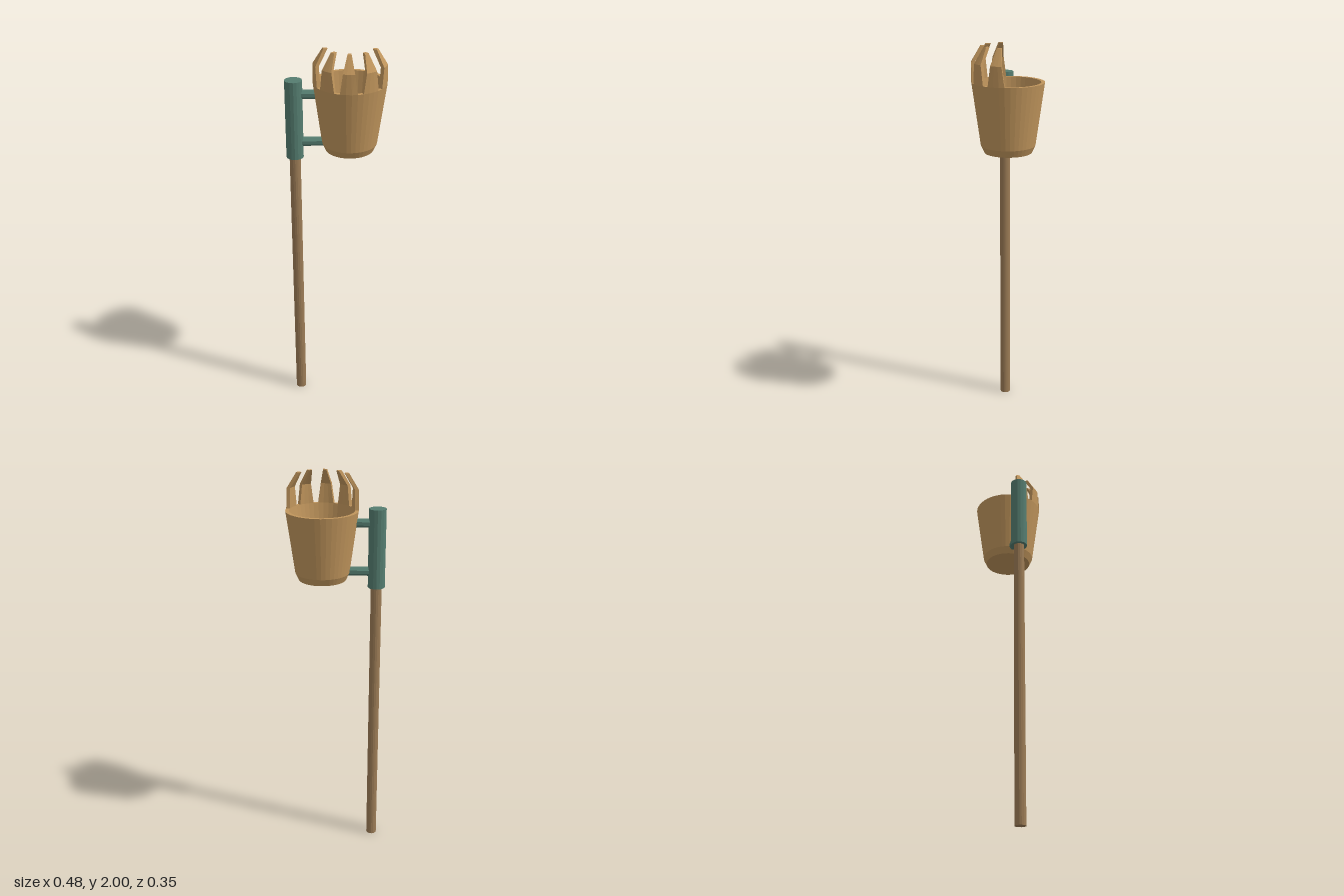
import * as THREE from 'three';

const CUP_X = 0.065, RIM_Y = 1.83, POLE_X = -0.2;

const paint = (color) => new THREE.MeshStandardMaterial({ color, flatShading: true });

function add(parent, name, geometry, material, x = 0, y = 0, z = 0) {
  const mesh = new THREE.Mesh(geometry, material);
  mesh.name = name;
  mesh.position.set(x, y, z);
  parent.add(mesh);
  return mesh;
}

// Tapered finger lofted through arc-shaped sections, centred on the given angle
function prongGeometry(angle) {
  const sections = [
    { y: RIM_Y, inner: 0.157, outer: 0.175, spread: 27 },
    { y: 1.925, inner: 0.157, outer: 0.175, spread: 18 },
    { y: 2.0, inner: 0.11, outer: 0.13, spread: 8.5 },
  ];
  const steps = 3, n = 2 * (steps + 1);
  const pos = [], idx = [];
  for (const s of sections) {
    for (let i = 0; i < n; i++) {
      const onOuter = i <= steps;
      const t = (onOuter ? i : n - 1 - i) / steps - 0.5;
      const a = THREE.MathUtils.degToRad(angle + t * s.spread);
      const r = onOuter ? s.outer : s.inner;
      pos.push(r * Math.cos(a), s.y, r * Math.sin(a));
    }
  }
  for (let k = 0; k < sections.length - 1; k++) {
    for (let i = 0; i < n; i++) {
      const a = k * n + i, b = k * n + (i + 1) % n;
      idx.push(b, a, a + n, b, a + n, b + n);
    }
  }
  // Flat tip
  const top = (sections.length - 1) * n;
  for (let j = 0; j < steps; j++) {
    idx.push(top + j, top + n - 1 - j, top + n - 2 - j, top + j, top + n - 2 - j, top + j + 1);
  }
  const g = new THREE.BufferGeometry();
  g.setAttribute('position', new THREE.Float32BufferAttribute(pos, 3));
  g.setIndex(idx);
  g.computeVertexNormals();
  return g;
}

export function createModel() {
  const model = new THREE.Group();
  model.name = 'fruitPicker';
  const wood = paint(0x9c7c56), metal = paint(0x557d70), basket = paint(0xc0955c);

  // Pole and the sleeve clamped over its upper end
  add(model, 'pole', new THREE.CylinderGeometry(0.027, 0.027, 1.5, 16), wood, POLE_X, 0.75);
  add(model, 'sleeve', new THREE.CylinderGeometry(0.042, 0.042, 0.39, 16), metal, POLE_X, 1.645);

  // Arms joining the sleeve to the cup wall
  for (const [name, y, endX] of [['upperArm', 1.77, -0.095], ['lowerArm', 1.53, -0.06]]) {
    const length = endX - POLE_X;
    const geometry = new THREE.CylinderGeometry(0.022, 0.022, length, 8)
      .rotateY(Math.PI / 8).rotateZ(Math.PI / 2);
    add(model, name, geometry, metal, POLE_X + length / 2, y);
  }

  // Hollow cup with a chamfered foot
  const profile = [
    [0, 1.49], [0.117, 1.49], [0.133, 1.525], [0.175, RIM_Y],
    [0.157, RIM_Y], [0.11, 1.51], [0, 1.51],
  ].map(([r, y]) => new THREE.Vector2(r, y));
  add(model, 'cup', new THREE.LatheGeometry(profile, 40), basket, CUP_X);

  // Five picking prongs around the front half of the rim
  const prongs = new THREE.Group();
  prongs.name = 'prongs';
  prongs.position.x = CUP_X;
  for (let i = 0; i < 5; i++) add(prongs, 'prong', prongGeometry(22.5 + 36 * i), basket);
  model.add(prongs);

  return model;
}
